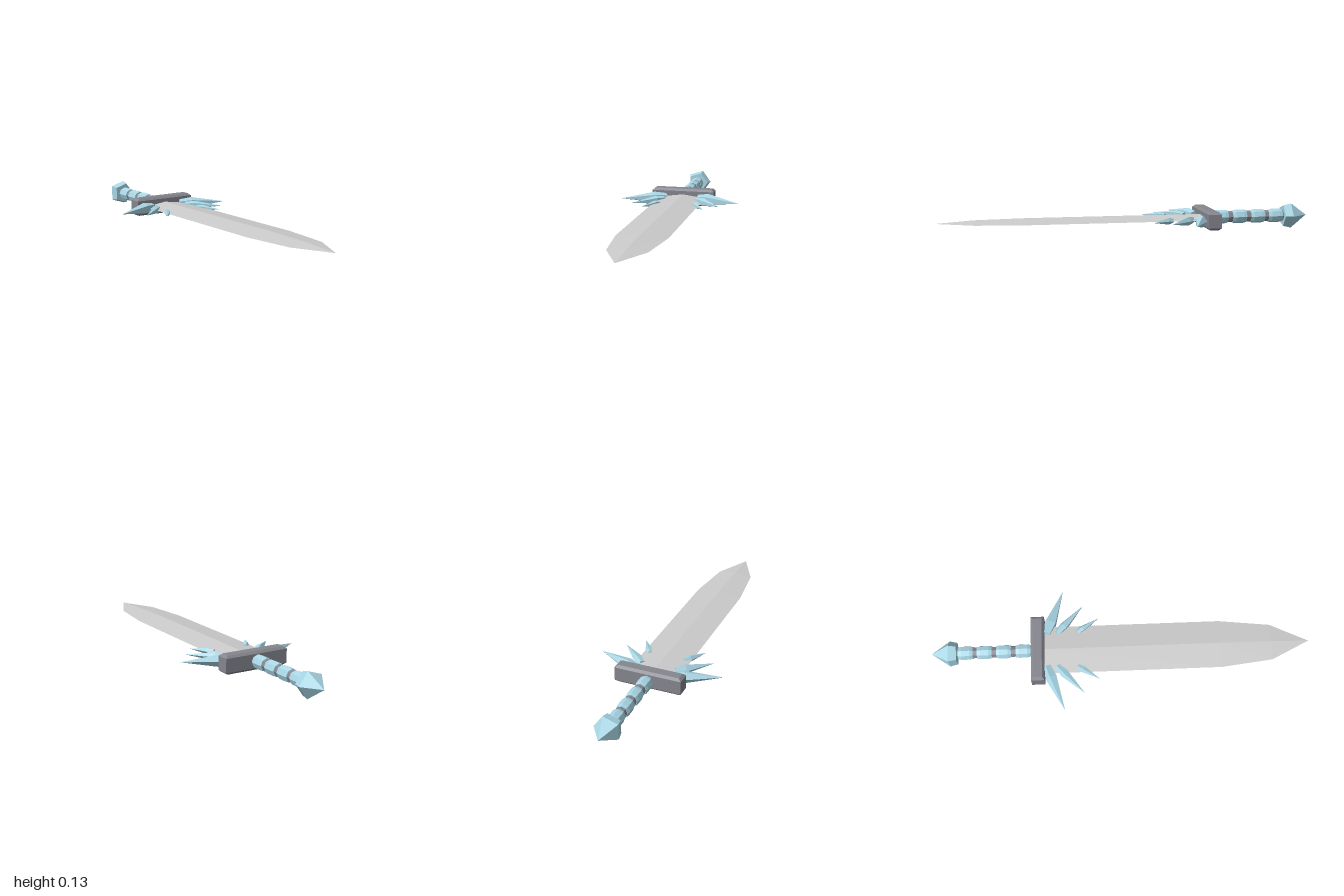
import * as THREE from 'three';

const AXIS_Y = 0.07;
const material = (color) => new THREE.MeshStandardMaterial({ color, flatShading: true, side: THREE.DoubleSide });

// Ring of n corners, counter-clockwise in the xy plane
const ngon = (n, rx, ry = rx, phase = 0) => Array.from({ length: n }, (_, i) => {
  const a = phase + (i / n) * Math.PI * 2;
  return [rx * Math.cos(a), ry * Math.sin(a)];
});
const rect = (hx, hy) => [[hx, -hy], [hx, hy], [-hx, hy], [-hx, -hy]];

// Faceted, capped skin over rings placed at increasing z: [[z, ring], ...]
function loft(sections) {
  const n = sections[0][1].length, last = sections.length - 1;
  const pos = [], index = [];
  for (const [z, ring] of sections) for (const [x, y] of ring) pos.push(x, y, z);
  for (let i = 0; i < last; i++) {
    for (let j = 0; j < n; j++) {
      const k = (j + 1) % n, a = i * n, b = a + n;
      index.push(a + j, a + k, b + k, a + j, b + k, b + j);
    }
  }
  for (let j = 1; j < n - 1; j++) {
    index.push(0, j + 1, j);
    index.push(last * n, last * n + j, last * n + j + 1);
  }
  const g = new THREE.BufferGeometry();
  g.setAttribute('position', new THREE.Float32BufferAttribute(pos, 3));
  g.setIndex(index);
  const flat = g.toNonIndexed();
  flat.computeVertexNormals();
  return flat;
}

export function createModel() {
  const model = new THREE.Group();
  model.name = 'sword';
  const steel = material(0xcccccc), iron = material(0x85868e), ice = material(0xa9d6e5);
  const add = (name, geometry, mat, x = 0, z = 0) => {
    const mesh = new THREE.Mesh(geometry, mat);
    mesh.name = name;
    mesh.position.set(x, AXIS_Y, z);
    model.add(mesh);
    return mesh;
  };

  // Blade with a diamond cross-section: z, half width, half thickness
  const blade = [[-0.42, 0.13, 0.017], [0.53, 0.13, 0.017], [0.8, 0.098, 0.012], [1, 0, 0]];
  add('blade', loft(blade.map(([z, w, t]) => [z, ngon(4, w, t)])), steel);

  // Crossguard, a bar chamfered at top and bottom
  const guard = loft([
    [-0.048, rect(0.163, 0.023)], [-0.036, rect(0.178, 0.035)],
    [0.036, rect(0.178, 0.035)], [0.048, rect(0.163, 0.023)],
  ]).rotateX(-Math.PI / 2);
  add('crossguard', guard, iron, 0, -0.438);

  // Grip core with four raised bands
  add('gripCore', loft([[-0.88, ngon(8, 0.03)], [-0.45, ngon(8, 0.03)]]), iron);
  for (const z of [-0.82, -0.72, -0.618, -0.515]) {
    add('gripBand', loft([
      [-0.039, ngon(8, 0.033)], [-0.022, ngon(8, 0.037)],
      [0.022, ngon(8, 0.037)], [0.039, ngon(8, 0.033)],
    ]), ice, 0, z);
  }

  // Five-sided pointed pommel
  add('pommel', loft([[-1, ngon(5, 0)], [-0.907, ngon(5, 0.07)], [-0.865, ngon(5, 0.06)]]), ice);

  // Mirrored crystal spikes: base x, base z, tip x, tip z, radius
  const spikes = [
    [0.092, -0.39, 0.335, -0.3, 0.033],
    [0.092, -0.335, 0.245, -0.195, 0.024],
    [0.095, -0.228, 0.17, -0.114, 0.018],
  ];
  for (const [bx, bz, tx, tz, r] of spikes) {
    const length = Math.hypot(tx - bx, tz - bz), angle = Math.atan2(tx - bx, tz - bz);
    for (const side of [1, -1]) {
      const phase = side > 0 ? 0 : Math.PI;
      const spike = loft([
        [0, ngon(5, r * 0.7, r * 0.7, phase)],
        [length * 0.26, ngon(5, r, r, phase)],
        [length, ngon(5, 0)],
      ]).rotateY(side * angle);
      add(side > 0 ? 'leftSpike' : 'rightSpike', spike, ice, side * bx, bz);
    }
  }
  return model;
}
